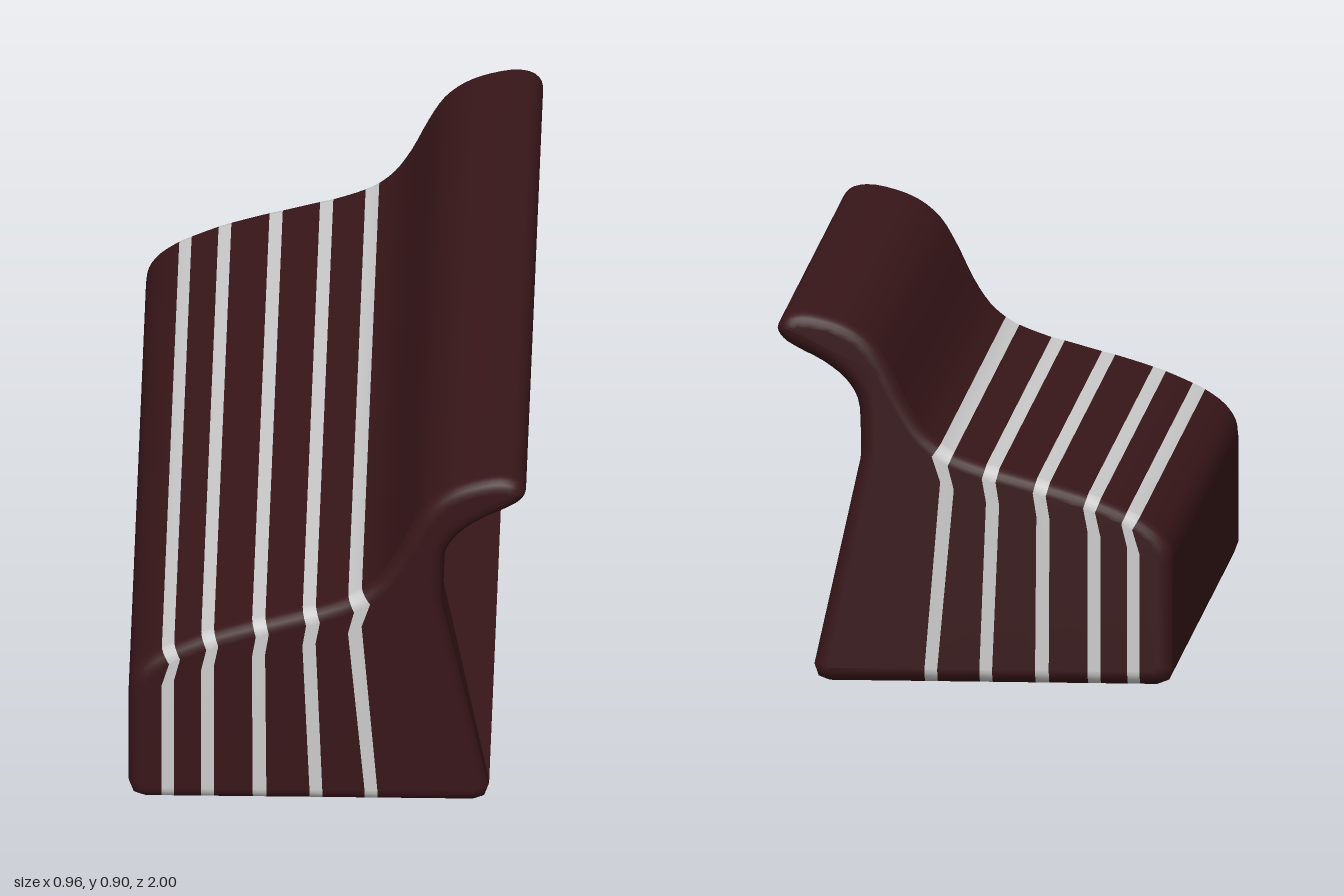
import * as THREE from 'three';

const HALF = 1;        // half length along z
const R = 0.035;       // edge rounding at both ends
const STEPS = 5;       // segments in the rounding
const SUB = 3;         // samples between upper profile points
const FIRST = 3;       // upper profile point where the first band starts

// Bottom edges of the five bands, left to right
const bandBottoms = [-0.4, -0.37, -0.305, -0.274, -0.18, -0.147, -0.043, -0.012, 0.09, 0.121];

// Upper outline, from the low side over the top, around the lip and down to the opening
const upper = [
  [-0.48, 0.3], [-0.474, 0.338], [-0.448, 0.376], [-0.4, 0.411], [-0.37, 0.426],
  [-0.305, 0.454], [-0.274, 0.465], [-0.182, 0.493], [-0.15, 0.501], [-0.06, 0.526],
  [-0.028, 0.534], [0.05, 0.563], [0.083, 0.582], [0.12, 0.615], [0.16, 0.675],
  [0.2, 0.757], [0.24, 0.823], [0.29, 0.865], [0.35, 0.89], [0.42, 0.902],
  [0.462, 0.89], [0.479, 0.86], [0.465, 0.835], [0.43, 0.812], [0.37, 0.781],
  [0.315, 0.738], [0.285, 0.69], [0.278, 0.62], [0.278, 0.545],
];

// Closed outline, counter-clockwise when seen from +z
function makeOutline() {
  const v = (x, y) => new THREE.Vector2(x, y);
  const curve = new THREE.CatmullRomCurve3(
    upper.map(([x, y]) => new THREE.Vector3(x, y, 0)), false, 'centripetal');
  const top = curve.getPoints((upper.length - 1) * SUB).map((p) => v(p.x, p.y));
  const base = [v(-0.44, 0), ...bandBottoms.map((x) => v(x, 0)),
    v(0.352, 0), v(0.38, 0.011), v(0.39, 0.04)];
  const wall = base.length - 1; // the segment after this index is the opening
  const outline = [...base, ...top.slice().reverse(), v(-0.48, 0.04), v(-0.469, 0.011)];
  const columns = bandBottoms.map((_, i) => ({
    bottom: i + 1,
    top: base.length + top.length - 1 - (FIRST + i) * SUB,
  }));
  return { outline, columns, wall };
}

// Outward normals of the outline
function outlineNormals(pts) {
  const n = pts.length;
  return pts.map((p, i) => {
    const a = p.clone().sub(pts[(i + n - 1) % n]).normalize();
    const b = pts[(i + 1) % n].clone().sub(p).normalize();
    const t = a.add(b).normalize();
    return new THREE.Vector2(t.y, -t.x);
  });
}

// Outer skin with rounded ends, split into body and bands that share their normals
function buildSkin({ outline, columns, wall }) {
  const n = outline.length;
  const normals = outlineNormals(outline);
  const rings = [];
  for (let k = 0; k <= STEPS; k++) {
    const a = (1 - k / STEPS) * Math.PI / 2;
    rings.push({ z: HALF - R + R * Math.sin(a), inset: R * (1 - Math.cos(a)) });
  }
  rings.push(...rings.slice().reverse().map((r) => ({ z: -r.z, inset: r.inset })));

  const pos = [];
  rings.forEach(({ z, inset }) => outline.forEach((p, i) =>
    pos.push(p.x - normals[i].x * inset, p.y - normals[i].y * inset, z)));
  const body = [], bands = [];

  // Side strips; the long face of the wall stays open
  const inBand = (i) => {
    for (let s = 0; s < columns.length; s += 2) {
      const [c, d] = [columns[s], columns[s + 1]];
      if ((i >= c.bottom && i < d.bottom) || (i >= d.top && i < c.top)) return true;
    }
    return false;
  };
  for (let j = 0; j < rings.length - 1; j++) {
    for (let i = 0; i < n; i++) {
      if (i === wall && j === STEPS) continue;
      const i2 = (i + 1) % n;
      const a = j * n + i, b = j * n + i2, c = a + n, d = b + n;
      (inBand(i) ? bands : body).push(a, c, b, b, c, d);
    }
  }

  // Flat ends, cut along the band edges
  const range = (a, b) => Array.from({ length: b - a + 1 }, (_, i) => (a + i) % n);
  [0, rings.length - 1].forEach((ring) => {
    const bends = columns.map((c) => {
      pos.push(outline[c.top].x, outline[c.top].y - 0.09, rings[ring].z);
      return pos.length / 3 - 1;
    });
    const fill = (ids, list) => {
      const pts = ids.map((id) => new THREE.Vector2(pos[id * 3], pos[id * 3 + 1]));
      THREE.ShapeUtils.triangulateShape(pts, []).forEach(([a, b, c]) => {
        const cross = pts[b].clone().sub(pts[a]).cross(pts[c].clone().sub(pts[a]));
        const flip = (cross < 0) !== (ring > 0);
        list.push(ids[a], ids[flip ? c : b], ids[flip ? b : c]);
      });
    };
    const at = (ids) => ids.map((i) => ring * n + i);
    const last = columns.length - 1;
    fill([...at(range(columns[0].top, n + columns[0].bottom)), bends[0]], body);
    fill([...at(range(columns[last].bottom, columns[last].top)), bends[last]], body);
    for (let s = 0; s < last; s++) {
      const [c, d] = [columns[s], columns[s + 1]];
      fill([...at(range(c.bottom, d.bottom)), bends[s + 1],
        ...at(range(d.top, c.top)), bends[s]], s % 2 ? body : bands);
    }
  });

  const whole = new THREE.BufferGeometry();
  whole.setAttribute('position', new THREE.Float32BufferAttribute(pos, 3));
  whole.setIndex([...body, ...bands]);
  whole.computeVertexNormals();
  return [body, bands].map((index) => {
    const g = new THREE.BufferGeometry();
    g.setAttribute('position', whole.getAttribute('position'));
    g.setAttribute('normal', whole.getAttribute('normal'));
    g.setIndex(index);
    return g;
  });
}

// Flat-faced hollow behind the opening, with the narrow frame at each side
function buildHollow({ outline, wall }) {
  const low = outline[wall], high = outline[wall + 1];
  const corners = (s) => ({
    frameLow: [low.x, low.y, s * (HALF - R)],
    frameHigh: [high.x, high.y, s * (HALF - R)],
    frontLow: [low.x, low.y, s * 0.955],
    frontHigh: [high.x, high.y, s * 0.87],
    backLow: [-0.43, 0.04, s * 0.945],
    backHigh: [-0.4, 0.325, s * 0.86],
  });
  const p = corners(1), m = corners(-1);
  const pos = [];
  const quad = (a, b, c, d) => pos.push(...a, ...b, ...c, ...a, ...c, ...d);
  quad(p.frontLow, m.frontLow, m.backLow, p.backLow);         // floor
  quad(p.frontHigh, p.backHigh, m.backHigh, m.frontHigh);     // ceiling
  quad(p.backLow, m.backLow, m.backHigh, p.backHigh);         // back
  quad(p.frontLow, p.backLow, p.backHigh, p.frontHigh);       // ends
  quad(m.frontLow, m.frontHigh, m.backHigh, m.backLow);
  quad(p.frameLow, p.frontLow, p.frontHigh, p.frameHigh);     // frame sides
  quad(m.frontLow, m.frameLow, m.frameHigh, m.frontHigh);
  quad(p.frontHigh, m.frontHigh, m.frameHigh, p.frameHigh);   // closes the top seam
  const g = new THREE.BufferGeometry();
  g.setAttribute('position', new THREE.Float32BufferAttribute(pos, 3));
  g.computeVertexNormals();
  return g;
}

export function createModel() {
  const group = new THREE.Group();
  const dark = new THREE.MeshStandardMaterial({ color: 0x381619 });
  const inside = new THREE.MeshStandardMaterial({ color: 0x381619, side: THREE.DoubleSide });
  const grey = new THREE.MeshStandardMaterial({ color: 0xcccccc });

  const profile = makeOutline();
  const [body, bands] = buildSkin(profile);
  const add = (name, geometry, material) => {
    const mesh = new THREE.Mesh(geometry, material);
    mesh.name = name;
    group.add(mesh);
  };
  add('body', body, dark);
  add('bands', bands, grey);
  add('hollow', buildHollow(profile), inside);
  return group;
}
